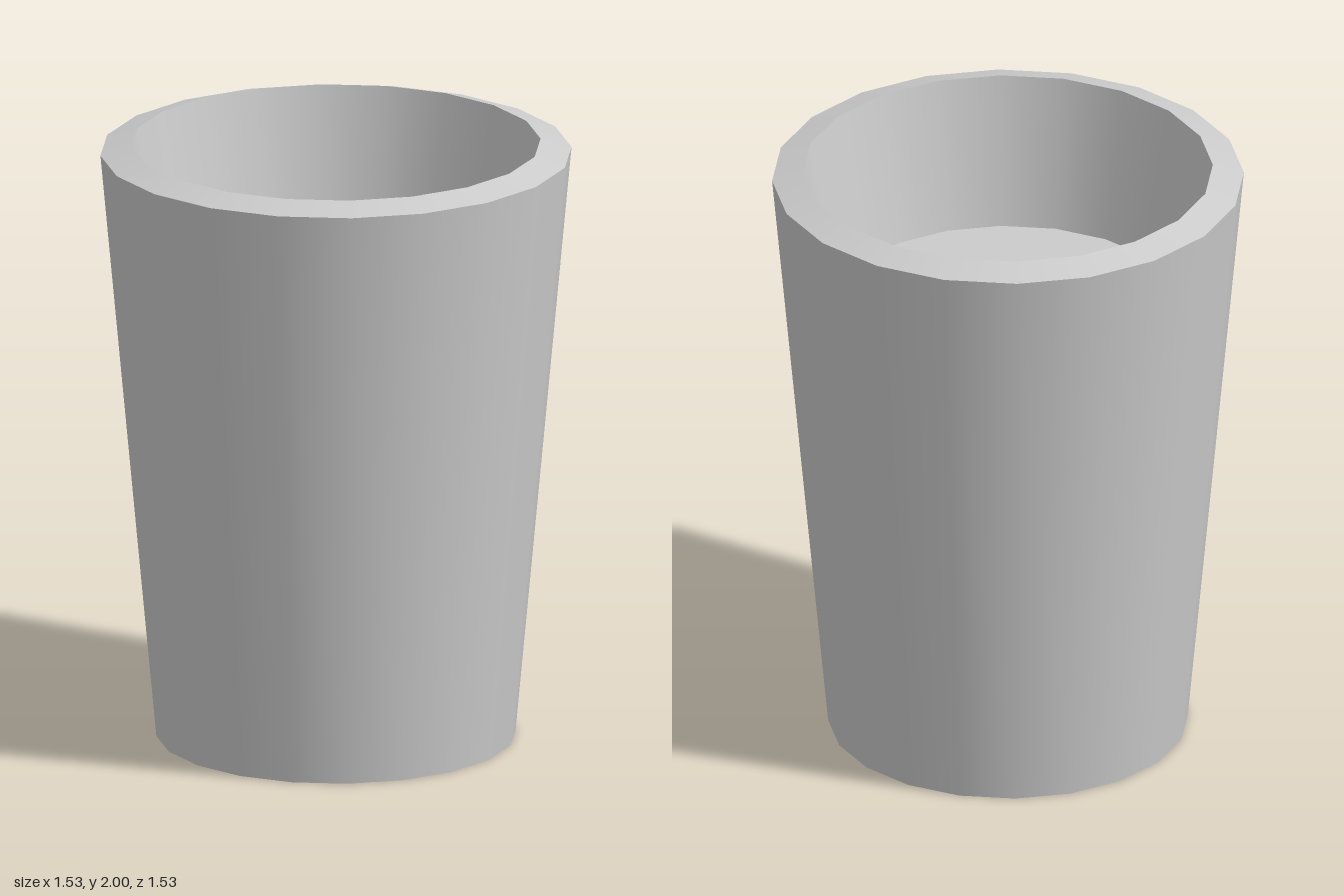
import * as THREE from 'three';

const SIDES = 20;

export function createModel() {
  const cup = new THREE.Group();
  cup.name = 'cup';
  const material = new THREE.MeshStandardMaterial({ color: 0xcccccc });

  // One smooth ring between two [radius, height] points; separate rings keep the edges sharp.
  const addRing = (name, from, to) => {
    const points = [new THREE.Vector2(...from), new THREE.Vector2(...to)];
    const mesh = new THREE.Mesh(new THREE.LatheGeometry(points, SIDES), material);
    mesh.name = name;
    cup.add(mesh);
  };

  // Flat disc facing up or down
  const addDisc = (name, radius, y, facing) => {
    const geometry = new THREE.CircleGeometry(radius, SIDES).rotateX(-facing * Math.PI / 2);
    const mesh = new THREE.Mesh(geometry, material);
    mesh.name = name;
    mesh.position.y = y;
    cup.add(mesh);
  };

  // Tapered wall, sloping rim and shallow hollow
  addDisc('base', 0.585, 0, -1);
  addRing('outerWall', [0.585, 0], [0.767, 1.97]);
  addRing('rim', [0.767, 1.97], [0.666, 2]);
  addRing('innerWall', [0.666, 2], [0.57, 1.5]);
  addDisc('innerFloor', 0.57, 1.5, 1);

  return cup;
}
